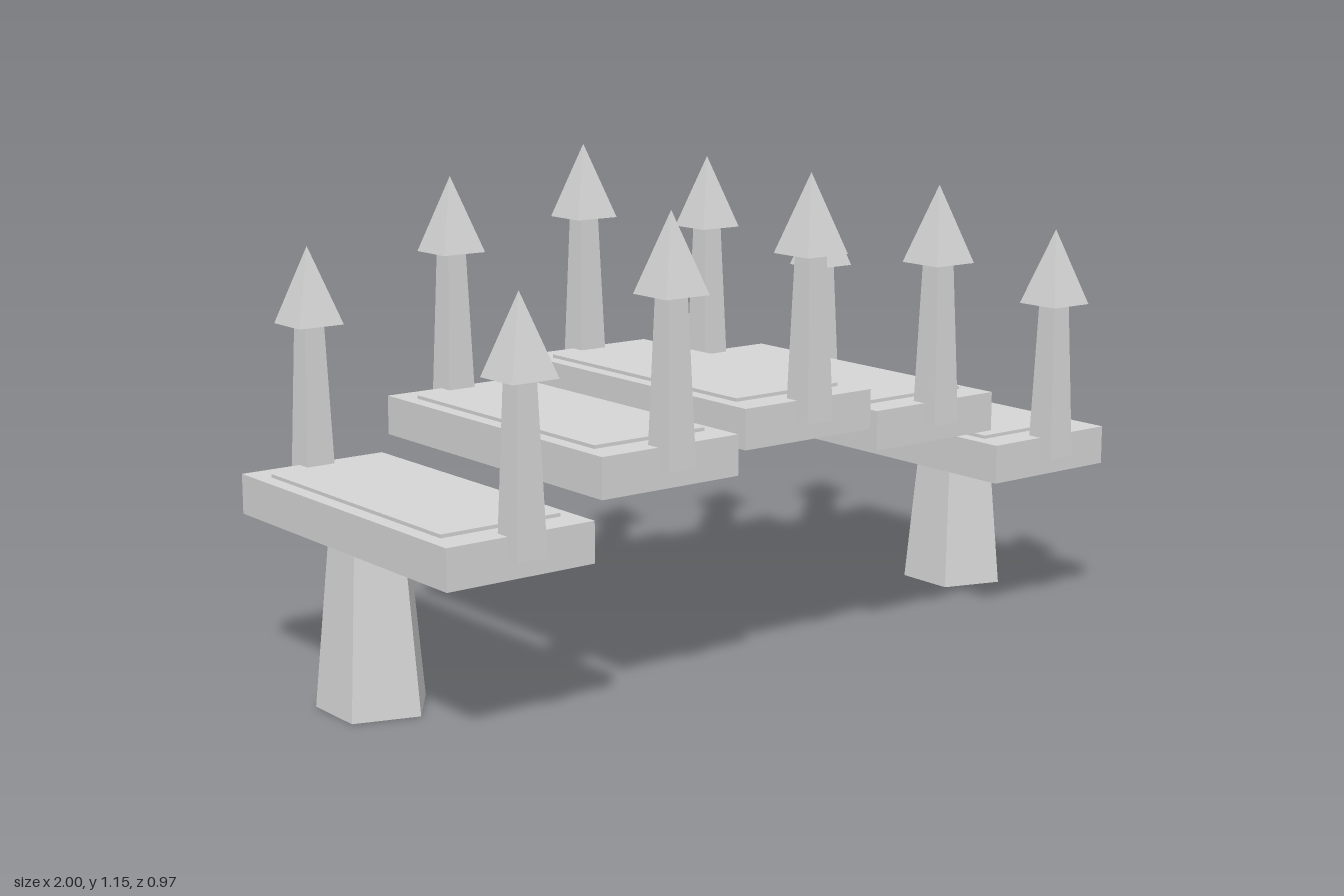
import * as THREE from 'three';

export function createModel() {
  const model = new THREE.Group();
  model.name = 'archedBridge';

  const stone = new THREE.MeshStandardMaterial({ color: 0xd5d5d5, flatShading: true });
  stone.name = 'pale grey stone';

  function add(parent, name, geometry, x, y, z) {
    const mesh = new THREE.Mesh(geometry, stone);
    mesh.name = name;
    mesh.position.set(x, y, z);
    parent.add(mesh);
    return mesh;
  }

  // Shared shapes: each one stands on its own base
  const slab = new THREE.BoxGeometry(0.37, 0.093, 0.854).translate(0, -0.0465, 0);
  const panel = new THREE.BoxGeometry(0.3, 0.016, 0.704);
  const shaft = new THREE.CylinderGeometry(0.035, 0.053, 0.38, 4, 1, false, Math.PI / 4).translate(0, 0.19, 0);
  const spike = new THREE.CylinderGeometry(0, 0.082, 0.18, 4, 1, false, Math.PI / 4).translate(0, 0.09, 0);
  const pillar = new THREE.CylinderGeometry(0.09, 0.13, 0.41, 5, 1, false, Math.PI / 2).translate(0, 0.205, 0);

  // Five stepped deck sections, each with a raised panel and two spiked posts
  const deckTops = [0.458, 0.592, 0.646, 0.592, 0.458];
  deckTops.forEach((top, i) => {
    const section = new THREE.Group();
    section.name = 'deckSection';
    section.position.set(-0.791 + i * 0.39, top, 0);
    model.add(section);
    add(section, 'deckSlab', slab, 0, 0, 0);
    add(section, 'deckPanel', panel, 0, 0, 0);
    for (const side of [-1, 1]) {
      add(section, 'postShaft', shaft, 0, -0.048, side * 0.427);
      add(section, 'postSpike', spike, 0, 0.327, side * 0.427);
    }
  });

  // Tapered five-sided pillars under the two ends
  for (const x of [-0.895, 0.87]) add(model, 'pillar', pillar, x, 0, 0);

  return model;
}
